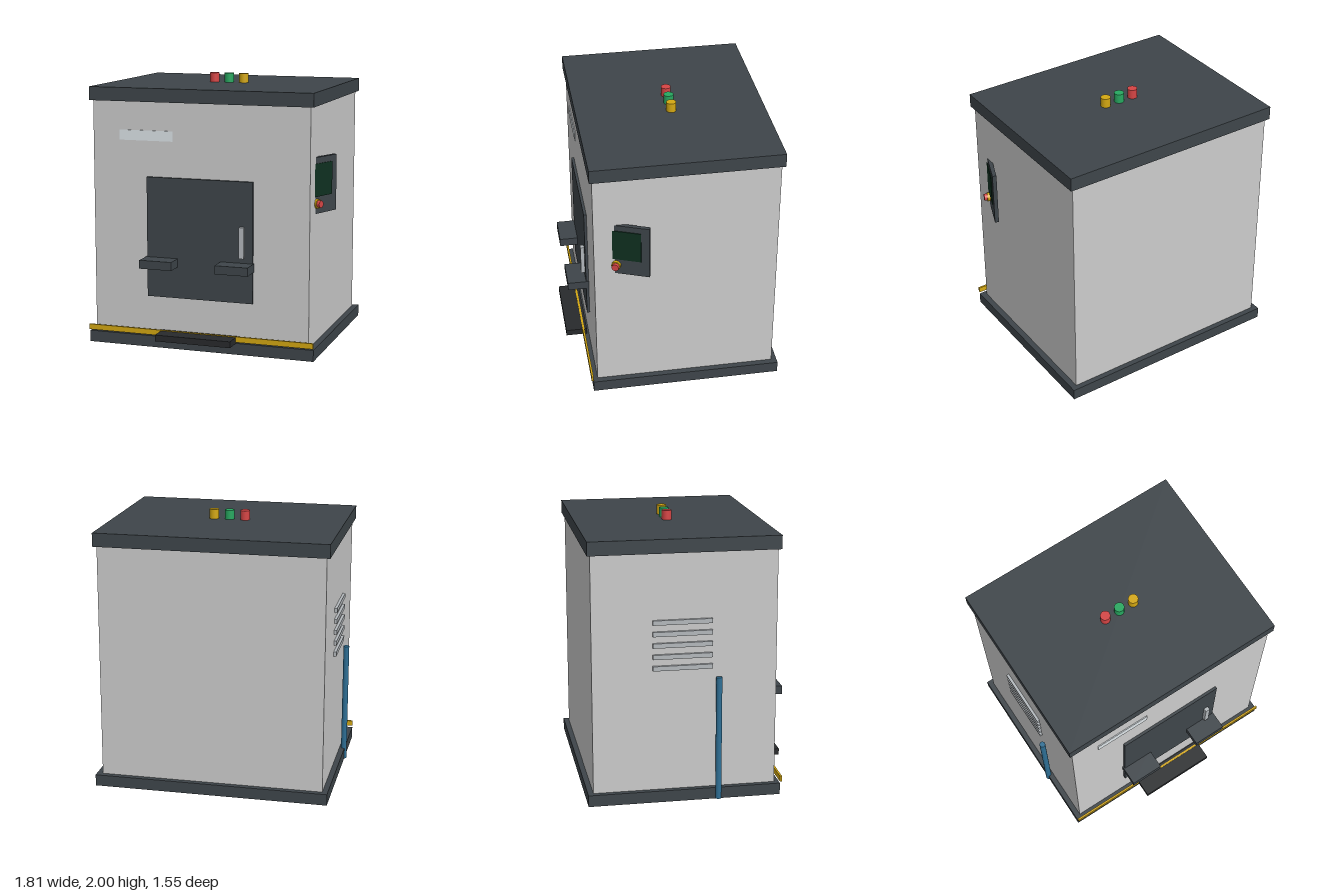
import * as THREE from 'three';

const mat = (color) => new THREE.MeshStandardMaterial({ color });

export function createModel() {
  const model = new THREE.Group();
  const grey = mat(0xcccccc), dark = mat(0x3e454a), black = mat(0x282a2c);
  const yellow = mat(0xd4a812), red = mat(0xd64545), green = mat(0x27a860);
  const blue = mat(0x2e6f95), steel = mat(0xb4b9bd), pale = mat(0xdde4e8), screenGreen = mat(0x0f3020);

  const add = (parent, name, geometry, material, x, y, z) => {
    const mesh = new THREE.Mesh(geometry, material);
    mesh.name = name;
    mesh.position.set(x, y, z);
    parent.add(mesh);
    return mesh;
  };
  // Box given by its limits along x, y and z
  const box = (name, material, [x0, x1], [y0, y1], [z0, z1], parent = model) =>
    add(parent, name, new THREE.BoxGeometry(x1 - x0, y1 - y0, z1 - z0), material,
      (x0 + x1) / 2, (y0 + y1) / 2, (z0 + z1) / 2);

  // Housing
  box('base', dark, [-0.89, 0.855], [0, 0.085], [-0.775, 0.635]);
  box('cabinet', grey, [-0.85, 0.81], [0.085, 1.83], [-0.735, 0.6]);
  box('roof', dark, [-0.875, 0.835], [1.83, 1.93], [-0.757, 0.62]);

  // Front: door, handle, shelves, plate
  box('door', dark, [-0.425, 0.39], [0.385, 1.28], [0.59, 0.62]);
  box('doorHandle', steel, [0.295, 0.33], [0.72, 0.95], [0.62, 0.648]);
  box('leftShelf', dark, [0.148, 0.397], [0.62, 0.683], [0.6, 0.757]);
  box('rightShelf', dark, [-0.435, -0.186], [0.62, 0.683], [0.6, 0.757]);
  box('namePlate', pale, [-0.64, -0.226], [1.545, 1.62], [0.595, 0.607]);

  // Foot pedal and safety strip
  box('footPedal', black, [-0.31, 0.272], [0.087, 0.134], [0.615, 0.776]);
  box('safetyStrip', yellow, [-0.89, 0.855], [0.097, 0.138], [0.635, 0.65]);

  // Signal lamps on the roof
  [red, green, yellow].forEach((m, i) =>
    add(model, 'signalLamp', new THREE.CylinderGeometry(0.036, 0.036, 0.075, 24), m, -0.135 + i * 0.117, 1.9625, -0.073));

  // Vent slats and pipe on the right side
  for (let i = 0; i < 5; i++) {
    const y = 1.0 + i * 0.0835;
    box('ventSlat', steel, [-0.87, -0.848], [y - 0.017, y + 0.017], [-0.3, 0.13]);
  }
  add(model, 'pipe', new THREE.CylinderGeometry(0.022, 0.022, 0.92, 20), blue, -0.883, 0.46, 0.175);

  // Control panel on the left side, turned toward the front; local +x is its face
  const panel = new THREE.Group();
  panel.name = 'controlPanel';
  panel.position.set(0.903, 0, 0.215);
  panel.rotation.y = -0.375;
  model.add(panel);
  box('panelCase', dark, [-0.03, 0], [1.045, 1.455], [0, 0.36], panel);
  box('panelScreen', screenGreen, [-0.005, 0.006], [1.17, 1.41], [0.06, 0.3], panel);
  const collar = add(panel, 'buttonCollar', new THREE.CylinderGeometry(0.034, 0.034, 0.02, 24), yellow, 0.01, 1.12, 0.242);
  const button = add(panel, 'stopButton', new THREE.CylinderGeometry(0.026, 0.026, 0.025, 24), red, 0.031, 1.12, 0.242);
  collar.rotation.z = button.rotation.z = -Math.PI / 2;

  return model;
}
